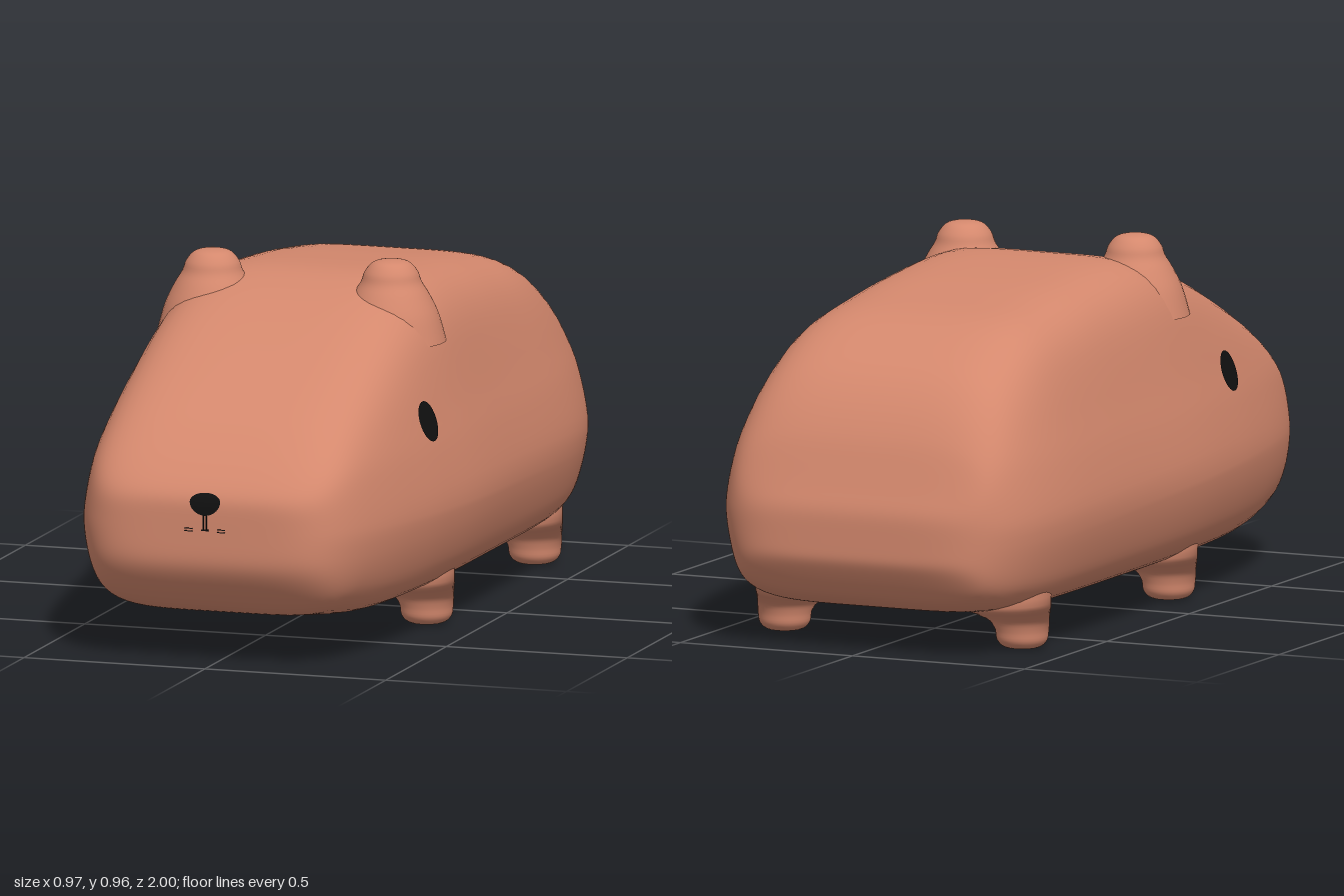
import * as THREE from 'three';

const skin = new THREE.MeshStandardMaterial({ color: 0xd4886d });
skin.name = 'warm clay';
const black = new THREE.MeshStandardMaterial({ color: 0x101010 });
black.name = 'black';

// Smooth curve through [position, value] points in rising order
function curve(pts) {
  const slope = (i) => {
    const a = pts[Math.max(i - 1, 0)], b = pts[Math.min(i + 1, pts.length - 1)];
    return (b[1] - a[1]) / (b[0] - a[0]);
  };
  return (p) => {
    if (p <= pts[0][0]) return pts[0][1];
    if (p >= pts[pts.length - 1][0]) return pts[pts.length - 1][1];
    let i = 0;
    while (p > pts[i + 1][0]) i++;
    const [x0, y0] = pts[i], [x1, y1] = pts[i + 1];
    const d = x1 - x0, t = (p - x0) / d, t2 = t * t, t3 = t2 * t;
    return (2 * t3 - 3 * t2 + 1) * y0 + (t3 - 2 * t2 + t) * d * slope(i)
      + (3 * t2 - 2 * t3) * y1 + (t3 - t2) * d * slope(i + 1);
  };
}

// Body outlines along z, and the narrowing of its sides with height
const topLine = curve([[-1, 0.45], [-0.98, 0.49], [-0.93, 0.62], [-0.85, 0.722], [-0.75, 0.785], [-0.6, 0.84],
  [-0.4, 0.87], [-0.2, 0.893], [0.1, 0.91], [0.25, 0.885], [0.4, 0.835], [0.6, 0.75], [0.8, 0.655], [0.9, 0.59], [1, 0.51]]);
const bottomLine = curve([[-1, 0.2], [-0.93, 0.11], [-0.8, 0.09], [-0.5, 0.088], [0.3, 0.088], [0.6, 0.09], [0.8, 0.105], [0.9, 0.115], [1, 0.2]]);
const halfWidth = curve([[-1, 0.46], [-0.8, 0.478], [-0.6, 0.486], [-0.2, 0.486], [0.15, 0.485], [0.4, 0.469], [0.6, 0.447], [0.8, 0.422], [1, 0.4]]);
const taper = curve([[0.08, 0.88], [0.2, 0.94], [0.3, 0.99], [0.37, 1], [0.5, 0.945], [0.6, 0.885], [0.7, 0.84], [0.8, 0.815], [0.92, 0.79]]);
const N = 5; // squareness of the cross-section

function section(z) {
  const cap = Math.pow(Math.max(0, 1 - Math.pow(Math.abs(z), 6)), 1 / 6);
  const mid = 0.335 + 0.035 * z;
  return { mid, up: (topLine(z) - mid) * cap, down: (mid - bottomLine(z)) * cap, w: halfWidth(z) * cap };
}

// Half width of the body at a height and depth (negative when outside)
function bodyX(y, z) {
  const s = section(z);
  const c = Math.abs(y - s.mid) / (y > s.mid ? s.up : s.down);
  return c < 1 ? s.w * taper(y) * Math.pow(1 - Math.pow(c, N), 1 / N) : -1;
}

// Front surface depth at x, y
function bodyFront(x, y) {
  let a = 0.6, b = 1;
  for (let i = 0; i < 40; i++) {
    const m = (a + b) / 2;
    if (bodyX(y, m) > Math.abs(x)) a = m; else b = m;
  }
  return a;
}

function gridGeometry(pos, rows, cols) {
  const index = [];
  for (let i = 0; i < rows - 1; i++) {
    for (let j = 0; j < cols; j++) {
      const k = (j + 1) % cols, a = i * cols, b = a + cols;
      index.push(a + j, a + k, b + j, a + k, b + k, b + j);
    }
  }
  const g = new THREE.BufferGeometry();
  g.setAttribute('position', new THREE.Float32BufferAttribute(pos, 3));
  g.setIndex(index);
  g.computeVertexNormals();
  return g;
}

function bodyGeometry() {
  const half = 64, cols = 112, pos = [];
  for (let i = -half; i <= half; i++) {
    const u = i / half, z = Math.sign(u) * (1 - Math.pow(1 - Math.abs(u), 4));
    const s = section(z);
    for (let j = 0; j < cols; j++) {
      const t = (j / cols) * Math.PI * 2, c = Math.cos(t), n = Math.sin(t);
      const r = Math.pow(Math.pow(Math.abs(c), N) + Math.pow(Math.abs(n), N), -1 / N);
      const y = s.mid + r * n * (n > 0 ? s.up : s.down);
      pos.push(s.w * taper(y) * r * c, y, z);
    }
  }
  return gridGeometry(pos, 2 * half + 1, cols);
}

// Flared round stub from [radius, y] points
function stub(points) {
  const path = new THREE.SplineCurve(points.map(([r, y]) => new THREE.Vector2(r, y)));
  const pts = path.getPoints(28).map((p) => new THREE.Vector2(Math.max(p.x, 0), p.y));
  return new THREE.LatheGeometry(pts, 40);
}

// Thin patch laid on the body: outline(t) in 2D, place(a, b) gives the 3D point
function patch(outline, centre, place) {
  const rings = 6, cols = 40, pos = [];
  for (let i = 0; i <= rings; i++) {
    for (let j = 0; j < cols; j++) {
      const [a, b] = outline((j / cols) * Math.PI * 2);
      const k = 1 - i / rings;
      pos.push(...place(centre[0] + a * k, centre[1] + b * k));
    }
  }
  return gridGeometry(pos, rings + 1, cols);
}

export function createModel() {
  const model = new THREE.Group();
  model.name = 'roundAnimal';
  const add = (name, geometry, material) => {
    const mesh = new THREE.Mesh(geometry, material);
    mesh.name = name;
    model.add(mesh);
    return mesh;
  };

  add('body', bodyGeometry(), skin);

  const onFront = (x, y) => [x, y, bodyFront(x, y) + 0.003];

  for (const side of [1, -1]) {
    const label = side > 0 ? 'left' : 'right';

    // Ears
    const ear = add(label + 'Ear', stub([[0.145, 0.75], [0.125, 0.82], [0.1, 0.872], [0.08, 0.905],
      [0.07, 0.932], [0.05, 0.955], [0.025, 0.963], [0, 0.965]]), skin);
    ear.position.set(side * 0.247, 0, 0.2);

    // Legs, with the flare leaning in under the body
    for (const [name, z] of [['FrontLeg', 0.2], ['BackLeg', -0.69]]) {
      const g = stub([[0, 0], [0.045, 0.004], [0.066, 0.022], [0.071, 0.05], [0.08, 0.075], [0.1, 0.093], [0.13, 0.12], [0.13, 0.2]]);
      const p = g.attributes.position;
      for (let i = 0; i < p.count; i++) {
        const r = Math.hypot(p.getX(i), p.getZ(i));
        p.setX(i, p.getX(i) - side * Math.max(0, r - 0.071));
      }
      add(label + name, g, skin).position.set(side * 0.345, 0, z);
    }

    // Eyes
    add(label + 'Eye', patch((t) => [-side * 0.05 * Math.cos(t), 0.052 * Math.sin(t)], [0.41, 0.58],
      (z, y) => [side * (bodyX(y, z) + 0.003), y, z]), black);

    // Whisker dashes
    for (const y of [0.366, 0.373]) {
      const dash = add(label + 'Whisker', new THREE.BoxGeometry(0.022, 0.002, 0.004), black);
      dash.position.set(side * 0.045, y, bodyFront(0.045, y) + 0.001);
    }
    // Mouth lines
    const line = add(label + 'MouthLine', new THREE.BoxGeometry(0.003, 0.044, 0.006), black);
    line.position.set(side * 0.004, 0.39, bodyFront(0.004, 0.39));
  }

  const mouth = add('mouth', new THREE.BoxGeometry(0.02, 0.004, 0.004), black);
  mouth.position.set(0, 0.37, bodyFront(0.01, 0.37) + 0.001);

  // Nose, wider above
  add('nose', patch((t) => [0.042 * Math.cos(t) * (1 + 0.08 * Math.sin(t)),
    (Math.sin(t) > 0 ? 0.025 : 0.034) * Math.sin(t)], [0, 0.443], onFront), black);

  return model;
}
